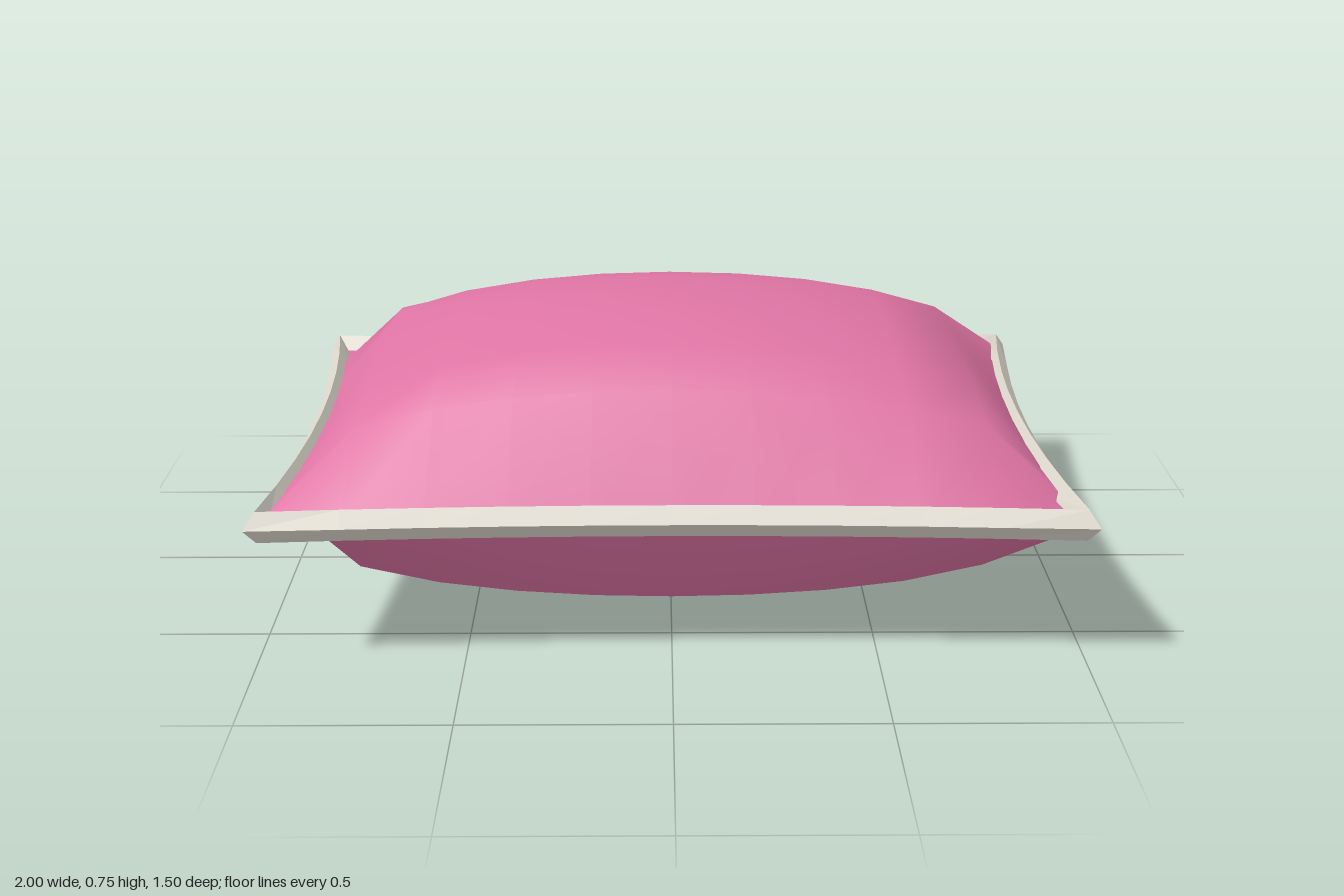
import * as THREE from 'three';

const MID = 0.38;     // height of the seam
const PUFF = 0.373;   // bulge above and below the seam

// Pinched rectangle: u and v run from -1 to 1, sides bow inward
const outline = (u, v) => [
  u * (0.974 - 0.052 * (1 - v * v)),
  v * (0.723 - 0.037 * (1 - u * u)),
];

// One puffed half of the cushion, side = 1 for top, -1 for bottom
function cushionHalf(side, material) {
  const geo = new THREE.PlaneGeometry(2, 2, 10, 8).rotateX(-side * Math.PI / 2);
  const pos = geo.attributes.position;
  for (let i = 0; i < pos.count; i++) {
    const u = pos.getX(i), v = pos.getZ(i);
    const h = Math.pow(Math.max(0, (1 - u * u) * (1 - v * v)), 0.4);
    const [x, z] = outline(u, v);
    pos.setXYZ(i, x, MID + side * PUFF * h, z);
  }
  geo.computeVertexNormals();
  return new THREE.Mesh(geo, material);
}

// Diamond-section piping swept around the seam, with mitred corners
function pipingGeometry() {
  const path = [];
  const corners = [[1, 1], [1, -1], [-1, -1], [-1, 1]];
  corners.forEach(([u0, v0], k) => {
    const [u1, v1] = corners[(k + 1) % 4];
    const n = u0 === u1 ? 8 : 10;
    for (let i = 0; i < n; i++) {
      const u = u0 + (u1 - u0) * i / n, v = v0 + (v1 - v0) * i / n;
      const [x, z] = outline(u, v);
      const ox = Math.abs(u) > 0.999 ? Math.sign(u) : 0;
      const oz = Math.abs(v) > 0.999 ? Math.sign(v) : 0;
      path.push({ x, z, ox, oz, w: ox && oz ? 0.026 : 0.029 });
    }
  });
  const section = [[1, 0], [0, 0.039], [-1, 0], [0, -0.039]];
  const verts = [], index = [];
  path.forEach((p, i) => {
    const next = (i + 1) % path.length;
    section.forEach(([out, up], s) => {
      verts.push(p.x + p.ox * p.w * out, MID + up, p.z + p.oz * p.w * out);
      const t = (s + 1) % 4;
      const a = i * 4 + s, b = next * 4 + s, c = next * 4 + t, d = i * 4 + t;
      index.push(a, b, c, a, c, d);
    });
  });
  const geo = new THREE.BufferGeometry();
  geo.setAttribute('position', new THREE.Float32BufferAttribute(verts, 3));
  geo.setIndex(index);
  const flat = geo.toNonIndexed(); // crisp facets
  flat.computeVertexNormals();
  return flat;
}

export function createModel() {
  const pink = new THREE.MeshStandardMaterial({ color: 0xe075a5 });
  pink.name = 'pink fabric';
  const cream = new THREE.MeshStandardMaterial({ color: 0xded9ce });
  cream.name = 'cream piping';

  const group = new THREE.Group();
  group.name = 'cushion';

  const top = cushionHalf(1, pink);
  top.name = 'cushionTop';
  const bottom = cushionHalf(-1, pink);
  bottom.name = 'cushionBottom';
  const piping = new THREE.Mesh(pipingGeometry(), cream);
  piping.name = 'piping';

  group.add(top, bottom, piping);
  return group;
}
